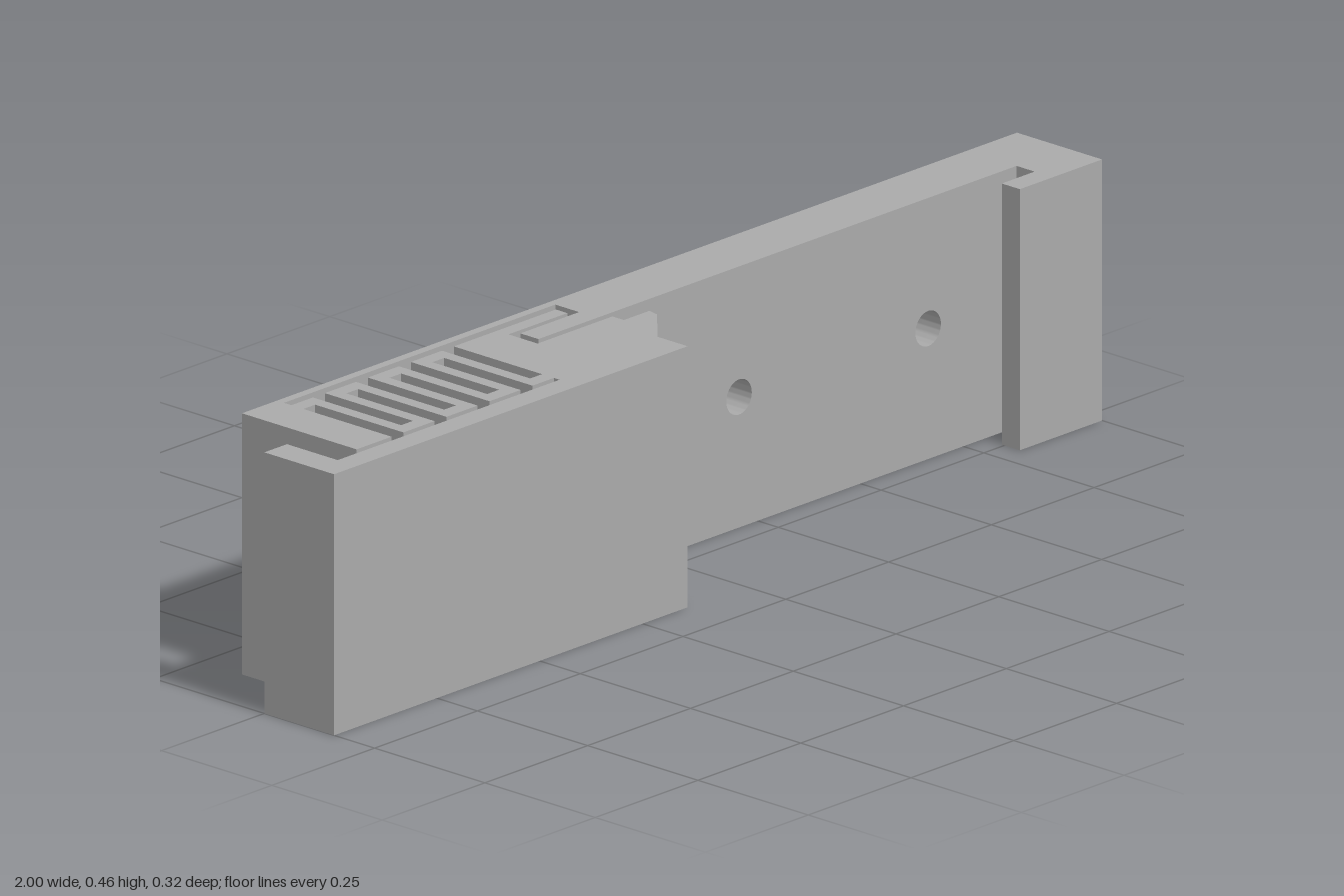
import * as THREE from 'three';
import { toCreasedNormals } from 'three/addons/utils/BufferGeometryUtils.js';

const H = 0.46;            // height of every part
const BACK = -0.158, FRONT = 0.158;
const BAR = -0.047;        // front face of the long bar
const SEAM = 0, HOOK = 0.88;

export function createModel() {
  const group = new THREE.Group();
  const grey = new THREE.MeshStandardMaterial({ color: 0xaaaaaa });
  grey.name = 'grey';

  const add = (name, geometry) => {
    const mesh = new THREE.Mesh(geometry, grey);
    mesh.name = name;
    group.add(mesh);
  };

  // Plan outline in [x, z], raised to the full height
  const raise = (points) => {
    const shape = new THREE.Shape(points.map(([x, z]) => new THREE.Vector2(x, -z)));
    return new THREE.ExtrudeGeometry(shape, { depth: H, bevelEnabled: false }).rotateX(-Math.PI / 2);
  };

  // Meander spring: seven thin leaves and eight slots, open alternately to front and back
  const x0 = -0.8, x1 = -0.405, leaf = 0.0235;
  const slot = (x1 - x0 - 7 * leaf) / 8;
  const zBack = -0.125, zFront = 0.102, bridge = 0.027;
  const frontSide = [], backSide = [];
  for (let i = 0; i < 8; i++) {
    const a = x0 + i * (slot + leaf), b = a + slot;
    if (i % 2 === 0) {
      const end = zBack + bridge;
      frontSide.push([a, zFront], [a, end], [b, end], [b, zFront]);
    } else {
      const end = zFront - bridge;
      backSide.unshift([b, zBack], [b, end], [a, end], [a, zBack]);
    }
  }

  // Fixed end, spring and sliding catch form one continuous strip
  add('springCatch', raise([
    [SEAM, BACK], [-0.885, BACK], [-0.885, zFront],
    ...frontSide,
    // sliding plate with its thumb lip
    [x1, zFront], [x1, 0.115], [-0.945, 0.115], [-0.945, 0], [-1, 0], [-1, FRONT],
    // catch nose
    [-0.14, FRONT], [-0.14, 0.09], [-0.06, 0.014], [-0.056, -0.007], [-0.118, -0.007], [-0.118, -0.033],
    // groove and guide finger
    [-0.3, -0.033], [-0.3, -0.099], [-0.157, -0.099], [-0.157, zBack],
    ...backSide,
    // back wall and guide tongue
    [x0, zBack], [x0, -0.142], [-0.14, -0.142], [-0.14, -0.088], [-0.283, -0.088], [-0.283, BAR], [SEAM, BAR],
  ]));

  // Long bar with two screw holes
  const face = new THREE.Shape([[SEAM, 0], [HOOK, 0], [HOOK, H], [SEAM, H]].map((p) => new THREE.Vector2(...p)));
  for (const x of [0.205, 0.665]) {
    face.holes.push(new THREE.Path().absarc(x, H / 2, 0.031, 0, Math.PI * 2, true));
  }
  const bar = new THREE.ExtrudeGeometry(face, { depth: BAR - BACK, bevelEnabled: false, curveSegments: 32 });
  add('mountingBar', toCreasedNormals(bar.translate(0, 0, BACK), 0.6));

  // Hooked end
  add('endHook', raise([
    [HOOK, BACK], [1, BACK], [1, 0.035], [0.8, 0.035], [0.8, -0.006], [HOOK, -0.006],
  ]));

  return group;
}
